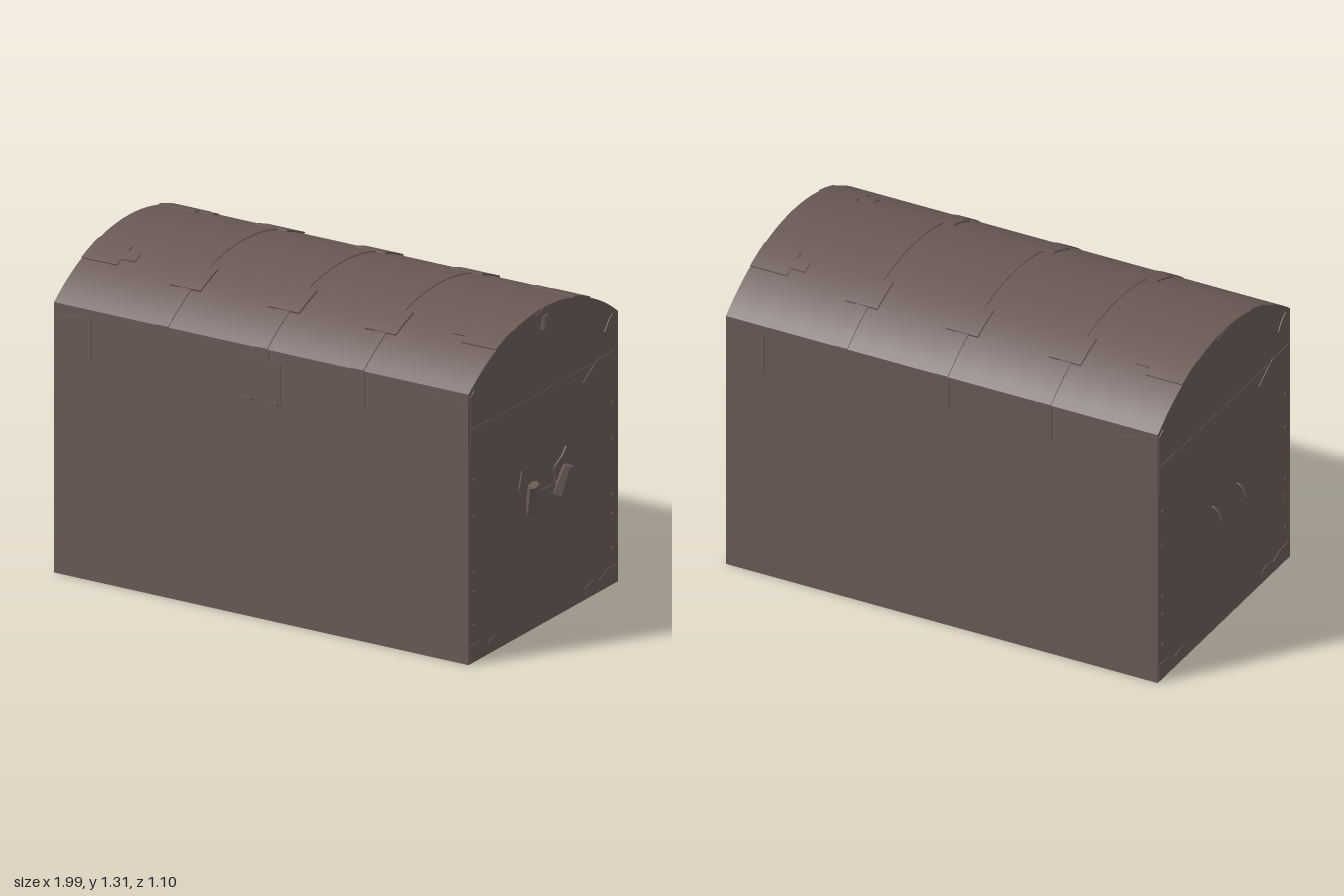
import * as THREE from 'three';
import { toCreasedNormals } from 'three/addons/utils/BufferGeometryUtils.js';

const X0 = -0.955, X1 = 0.935, XC = (X0 + X1) / 2, ZC = -0.005;
const HALF = 0.54, EAVE = 1.115, TOP = 1.302, SEAM = 0.955;
const R = (HALF * HALF + (TOP - EAVE) ** 2) / (2 * (TOP - EAVE));

export function createModel() {
  const group = new THREE.Group();
  const leather = new THREE.MeshStandardMaterial({ color: 0x6a5955 });
  leather.name = 'dark brown';

  function add(name, geometry, x = 0, y = 0, z = 0) {
    const mesh = new THREE.Mesh(geometry, leather);
    mesh.name = name;
    mesh.position.set(x, y, z);
    group.add(mesh);
    return mesh;
  }
  const box = (name, w, h, d, x, y, z) => add(name, new THREE.BoxGeometry(w, h, d), x, y, z);

  // Extrudes a (z, y) outline along x, centred on x
  function slab(name, points, width, x) {
    const shape = new THREE.Shape(points.map(([z, y]) => new THREE.Vector2(z, y)));
    const g = new THREE.ExtrudeGeometry(shape, { depth: width, bevelEnabled: false });
    g.rotateY(-Math.PI / 2).translate(width / 2, 0, 0);
    return add(name, toCreasedNormals(g, 0.4), x, 0, ZC);
  }

  // Points along the barrel curve, offset outward
  function arc(z0, z1, offset = 0, n = 28) {
    const a0 = Math.asin(z0 / R), a1 = Math.asin(z1 / R);
    return Array.from({ length: n + 1 }, (_, i) => {
      const a = a0 + (a1 - a0) * i / n;
      return [(R + offset) * Math.sin(a), TOP - R + (R + offset) * Math.cos(a)];
    });
  }
  const band = (name, x, width, z0, z1, t) =>
    slab(name, [...arc(z0, z1, t), ...arc(z0, z1, -0.01).reverse()], width, x);

  // Body and domed lid
  box('body', X1 - X0, SEAM, HALF * 2, XC, SEAM / 2, ZC);
  slab('lid', [[-HALF, SEAM], ...arc(-HALF, HALF), [HALF, SEAM]], X1 - X0, XC);

  // Straps over the lid with broad fittings and tabs at the eaves
  for (const x of [-0.46, -0.01, 0.43]) {
    band('lidStrap', x, 0.055, -HALF, HALF, 0.004);
    for (const s of [-1, 1]) {
      band('strapFitting', x, 0.14, s * 0.31 - 0.065, s * 0.31 + 0.065, 0.007);
      box('strapTab', 0.065, 0.16, 0.006, x, 1.035, ZC + s * HALF);
    }
  }

  // Lid corner fittings, stepped toward a point
  for (const e of [-1, 1]) for (const s of [-1, 1]) {
    const end = XC + e * 0.945;
    band('lidCornerFitting', end - e * 0.08, 0.16, s * 0.28 - 0.06, s * 0.28 + 0.06, 0.005);
    band('lidCornerPoint', end - e * 0.19, 0.06, s * 0.28 - 0.025, s * 0.28 + 0.025, 0.005);
    box('eaveCornerPlate', 0.17, 0.17, 0.005, end - e * 0.086, 0.99, ZC + s * HALF);
  }

  // Lock plate and clasp on the front
  box('lockPlate', 0.18, 0.17, 0.01, -0.01, 0.985, ZC + HALF);
  for (const x of [-0.07, 0.05]) box('claspTooth', 0.04, 0.012, 0.026, x, 0.9, ZC + HALF);

  // Both ends: seam strip, bracket plates and edge studs
  for (const [e, x] of [[-1, X0], [1, X1]]) {
    box('seamStrip', 0.004, 0.008, HALF * 1.8, x, SEAM, ZC);
    for (const s of [-1, 1]) {
      const mirrored = points => points.map(([z, y]) => [s * z, y]);
      slab('seamBracket', mirrored([[0.53, 0.84], [0.42, 0.84], [0.37, 0.84], [0.35, 0.87],
        [0.28, 0.9], [0.35, 0.94], [0.39, 0.965], [0.53, 0.965]]), 0.006, x);
      slab('baseBracket', mirrored([[0.53, 0.005], [0.31, 0.005], [0.3, 0.05], [0.35, 0.065],
        [0.4, 0.05], [0.46, 0.075], [0.53, 0.075]]), 0.006, x);
      slab('lidBracket', mirrored([[0.53, 0.98], [0.5, 0.98], [0.44, 1.06], [0.47, 1.1],
        [0.5, 1.12], [0.53, 1.1]]), 0.006, x);
      for (const y of [0.15, 0.29, 0.37, 0.6, 0.75]) {
        const stud = add('edgeStud', new THREE.SphereGeometry(0.009, 8, 6), x, y, ZC + s * 0.5);
        stud.scale.x = 0.5;
      }
    }
    slab('lidEndOrnament', [[-0.06, 1.285], [-0.04, 1.23], [0.03, 1.22], [0.06, 1.285], [0, 1.3]],
      0.006, x);
  }

  // Raised crest on the right end of the lid
  const crest = add('lidCrest', new THREE.CylinderGeometry(0.022, 0.035, 0.05, 5), X1, 1.245, -0.01);
  crest.scale.x = 0.7;

  // Right handle mounts: a pointed base plate and a flared, cut-off grip stub
  for (const s of [-1, 1]) {
    const z = -0.01 + s * 0.11;
    slab('handlePlate', [[s * 0.08, 0.56], [s * 0.17, 0.58], [s * 0.18, 0.61], [s * 0.16, 0.68],
      [s * 0.13, 0.65], [s * 0.07, 0.62]], 0.01, X1);
    const stub = new THREE.CylinderGeometry(0.028, 0.042, 0.12, 6).toNonIndexed();
    stub.computeVertexNormals();
    const mount = add('handleMount', stub, X1 + 0.022, 0.56, z);
    mount.rotation.set(s * 0.3, 0, -0.2);
    mount.scale.x = 0.7;
  }
  slab('handleBackPlate', [[-0.1, 0.535], [-0.07, 0.555], [0.07, 0.555], [0.1, 0.535],
    [0.08, 0.51], [-0.08, 0.51]], 0.01, X1);

  // Slim hooks left on the left end
  for (const s of [-1, 1]) {
    const curve = new THREE.QuadraticBezierCurve3(
      new THREE.Vector3(X0, 0.56, s * 0.1), new THREE.Vector3(X0 - 0.035, 0.55, s * 0.1),
      new THREE.Vector3(-0.997, 0.505, s * 0.1));
    add('leftHook', new THREE.TubeGeometry(curve, 6, 0.004, 5, false));
  }
  return group;
}
